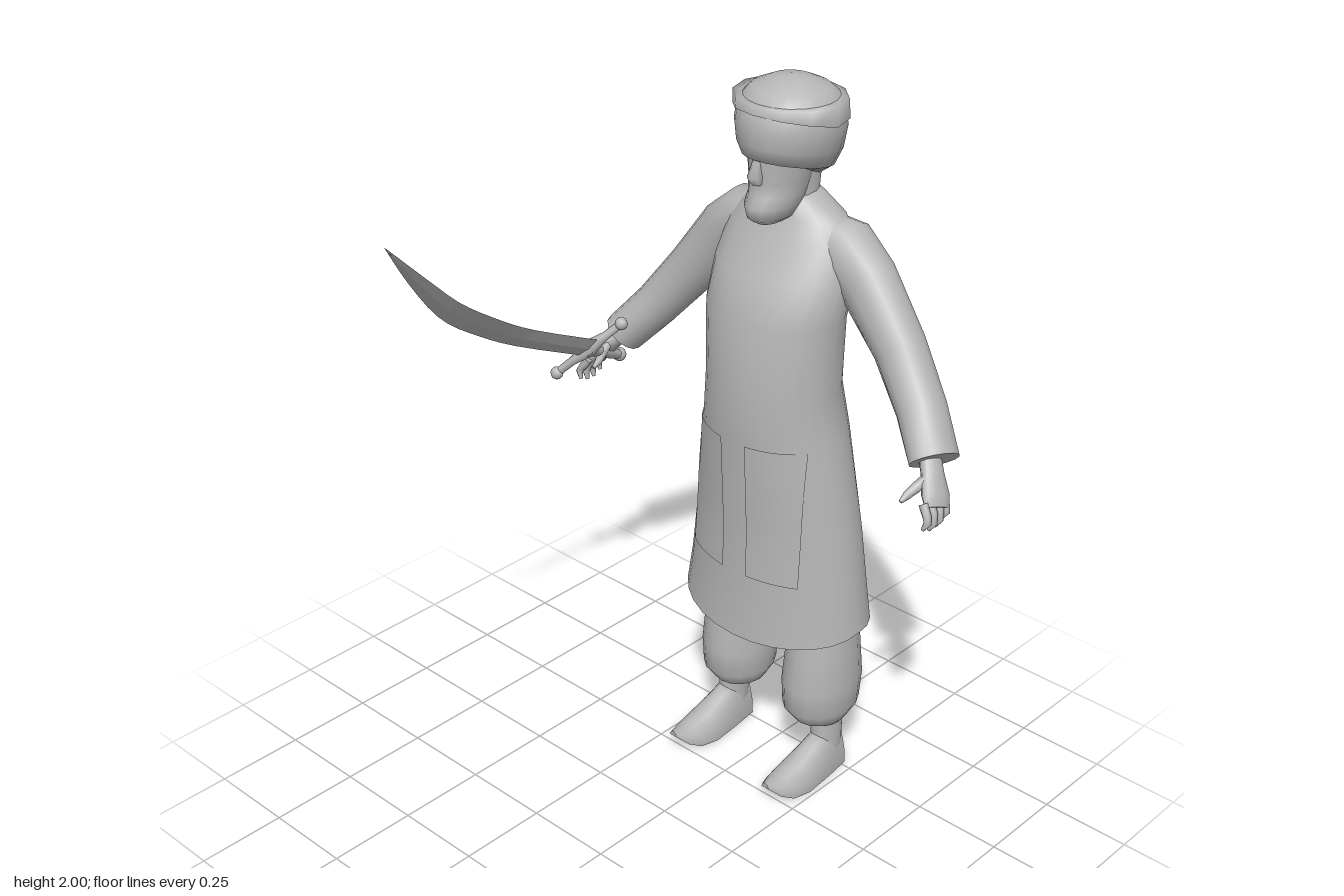
import * as THREE from 'three';

const grey = new THREE.MeshStandardMaterial({ color: 0xb6b6b6, side: THREE.DoubleSide });
grey.name = 'plain grey';
const V = (x, y, z) => new THREE.Vector3(x, y, z);

// Ellipse of points around c, spanned by U and V (U x V points along the loft)
function ring(c, u, v, n) {
  return Array.from({ length: n }, (_, i) => {
    const a = (i / n) * Math.PI * 2;
    return c.clone().addScaledVector(u, Math.cos(a)).addScaledVector(v, Math.sin(a));
  });
}

// Skin over a list of rings, with optional end caps
function loft(rings, capStart = true, capEnd = true) {
  const n = rings[0].length, pos = [], idx = [];
  rings.forEach(r => r.forEach(p => pos.push(p.x, p.y, p.z)));
  for (let i = 0; i < rings.length - 1; i++) {
    for (let j = 0; j < n; j++) {
      const k = (j + 1) % n, a = i * n + j, b = i * n + k;
      idx.push(a, b, b + n, a, b + n, a + n);
    }
  }
  const cap = (r, flip) => {
    const base = pos.length / 3;
    const c = r.reduce((s, p) => s.add(p), V(0, 0, 0)).divideScalar(n);
    [...r, c].forEach(p => pos.push(p.x, p.y, p.z));
    for (let j = 0; j < n; j++) {
      const a = base + j, b = base + (j + 1) % n;
      idx.push(...(flip ? [b, a, base + n] : [a, b, base + n]));
    }
  };
  if (capStart) cap(rings[0], true);
  if (capEnd) cap(rings[rings.length - 1], false);
  const g = new THREE.BufferGeometry();
  g.setAttribute('position', new THREE.Float32BufferAttribute(pos, 3));
  g.setIndex(idx);
  g.computeVertexNormals();
  return g;
}

// Upright rings from rows of [y, centre x, half width, front z, back z]
const upright = (rows, n) => rows.map(([y, cx, rx, zf, zb]) =>
  ring(V(cx, y, (zf + zb) / 2), V(0, 0, (zf - zb) / 2), V(rx, 0, 0), n));

// Tapered sweep along points; rows are [x, y, z, radius across, radius along z]
function sweep(rows, n, side = 1) {
  const pts = rows.map(r => V(r[0] * side, r[1], r[2]));
  return loft(rows.map((r, i) => {
    const t = pts[Math.min(i + 1, pts.length - 1)].clone().sub(pts[Math.max(i - 1, 0)]).normalize();
    const u = V(0, 0, 1).addScaledVector(t, -t.z).normalize();
    const v = t.clone().cross(u);
    return ring(pts[i], u.multiplyScalar(r[4] ?? r[3]), v.multiplyScalar(r[3]), n);
  }));
}

const ROBE = [
  [0.465, 0.005, 0.29, -0.26, -0.64], [0.6, 0.008, 0.275, -0.267, -0.628], [0.8, 0.01, 0.25, -0.268, -0.608],
  [1.07, 0.008, 0.208, -0.25, -0.585], [1.2, 0.005, 0.188, -0.245, -0.567], [1.4, 0.003, 0.197, -0.257, -0.56],
  [1.5, 0.003, 0.205, -0.305, -0.572], [1.6, 0.003, 0.19, -0.362, -0.57], [1.65, 0.003, 0.15, -0.39, -0.56],
  [1.69, 0.003, 0.085, -0.4, -0.54], [1.705, 0.003, 0.055, -0.41, -0.53]];

// Front surface of the robe at x, y
function robeFront(x, y) {
  const i = ROBE.findIndex(r => r[0] > y), a = ROBE[i - 1], b = ROBE[i];
  const t = (y - a[0]) / (b[0] - a[0]);
  const [, cx, rx, zf, zb] = a.map((q, k) => q + (b[k] - q) * t);
  return (zf + zb) / 2 + (zf - zb) / 2 * Math.sqrt(1 - ((x - cx) / rx) ** 2);
}

export function createModel() {
  const model = new THREE.Group();
  const add = (name, geometry, parent = model) => {
    const m = new THREE.Mesh(geometry, grey);
    m.name = name;
    parent.add(m);
    return m;
  };

  // Long robe, with the hem higher at the sides
  const robe = upright(ROBE, 28);
  robe[0].forEach((p, i) => {
    const c = Math.cos(i / 28 * Math.PI * 2);
    p.y += c > 0 ? 0.045 * (1 - c) : 0.045 + 0.01 * c;
  });
  add('robe', loft(robe, false, true));

  // Flat panels on the front of the skirt
  for (const [x0, x1] of [[-0.185, -0.035], [0.045, 0.19]]) {
    const g = new THREE.PlaneGeometry(x1 - x0, 0.4, 6, 8);
    g.translate((x0 + x1) / 2, 0.866, 0);
    const p = g.attributes.position;
    for (let i = 0; i < p.count; i++) p.setZ(i, robeFront(p.getX(i), p.getY(i)) + 0.005);
    g.computeVertexNormals();
    add('skirtPanel', g);
  }

  // Neck, bearded face and nose
  add('neck', loft(upright([[1.6, 0.003, 0.08, -0.4, -0.55], [1.68, 0.003, 0.06, -0.4, -0.53],
    [1.8, 0.005, 0.065, -0.38, -0.54]], 14)));
  add('face', loft(upright([[1.64, 0.004, 0.025, -0.335, -0.42], [1.658, 0.004, 0.05, -0.305, -0.46],
    [1.69, 0.004, 0.063, -0.298, -0.48], [1.715, 0.004, 0.066, -0.315, -0.49], [1.75, 0.004, 0.072, -0.32, -0.5],
    [1.85, 0.005, 0.085, -0.315, -0.52]], 14)));
  add('nose', loft(upright([[1.75, 0.004, 0.016, -0.305, -0.34], [1.77, 0.004, 0.018, -0.288, -0.34],
    [1.82, 0.004, 0.009, -0.308, -0.34]], 6)));

  // Wrapped headdress: rows are [front y, back y, half width, front z, back z]
  const wrap = [[1.81, 1.73, 0.065, -0.34, -0.535], [1.815, 1.76, 0.105, -0.306, -0.56],
    [1.85, 1.81, 0.128, -0.296, -0.575], [1.89, 1.87, 0.137, -0.294, -0.582], [1.92, 1.92, 0.134, -0.3, -0.578],
    [1.95, 1.95, 0.122, -0.315, -0.56], [1.972, 1.972, 0.1, -0.335, -0.535], [1.992, 1.992, 0.055, -0.38, -0.49],
    [2, 2, 0.01, -0.425, -0.445]]
    .map(([yf, yb, rx, zf, zb]) => ring(V(0.008, (yf + yb) / 2, (zf + zb) / 2),
      V(0, (yf - yb) / 2, (zf - zb) / 2), V(rx, 0, 0), 20));
  add('headdress', loft(wrap));
  const band = upright([[1.9, 0.007, 0.148, -0.297, -0.58], [1.952, 0.007, 0.148, -0.3, -0.57],
    [1.952, 0.007, 0.118, -0.32, -0.555]], 12);
  band[0].forEach((p, i) => { p.y += 0.03 * Math.max(0, Math.cos(i / 12 * Math.PI * 2)); });
  add('headdressBand', loft(band, false, false));

  for (const side of [-1, 1]) {
    const label = side > 0 ? 'left' : 'right';

    // Sleeve and hand
    add(label + 'Sleeve', sweep([[0.08, 1.585, -0.485, 0.07, 0.075], [0.16, 1.575, -0.485, 0.082, 0.08],
      [0.23, 1.515, -0.483, 0.082, 0.072], [0.35, 1.37, -0.475, 0.07, 0.066], [0.45, 1.245, -0.445, 0.062, 0.068],
      [0.53, 1.15, -0.4, 0.058, 0.07]], 14, side));
    const hand = new THREE.Group();
    hand.name = label + 'Hand';
    model.add(hand);
    add('palm', sweep([[0.505, 1.18, -0.405, 0.024, 0.03], [0.545, 1.13, -0.375, 0.022, 0.034],
      [0.575, 1.09, -0.352, 0.02, 0.046], [0.59, 1.065, -0.34, 0.014, 0.042]], 10, side), hand);
    for (let f = 0; f < 4; f++) {
      const z = -0.378 + f * 0.025, drop = [0.012, 0, 0, 0.01][f];
      add('finger', sweep([[0.575, 1.085, z, 0.012], [0.594, 1.057, z + 0.006, 0.011],
        [0.6, 1.035 + drop, z + 0.012, 0.01], [0.59, 1.015 + drop, z + 0.016, 0.005]], 6, side), hand);
    }
    add('thumb', sweep([[0.548, 1.13, -0.355, 0.014], [0.538, 1.11, -0.32, 0.014],
      [0.53, 1.095, -0.295, 0.011], [0.528, 1.085, -0.274, 0.005]], 6, side), hand);

    // Baggy trouser leg and ankle
    const lx = side > 0 ? 0.158 : -0.137, fx = side > 0 ? 0.178 : -0.17, back = side > 0 ? -0.015 : 0;
    add(label + 'TrouserLeg', loft(upright([[0.16, fx * 0.97, 0.045, -0.42, -0.53],
      [0.175, lx, 0.072, -0.385, -0.545 + back], [0.22, lx, 0.097, -0.35, -0.575 + back],
      [0.3, lx, 0.1, -0.343, -0.583 + back], [0.42, lx, 0.094, -0.357, -0.567 + back],
      [0.5, lx, 0.086, -0.372, -0.55 + back], [0.75, lx * 0.9, 0.085, -0.37, -0.54]], 16)));
    add(label + 'Ankle', loft(upright([[0.02, fx, 0.042, -0.42, -0.525], [0.1, fx, 0.038, -0.425, -0.53],
      [0.2, fx * 0.97, 0.042, -0.425, -0.535]], 12)));

    // Shoe with upturned toe: rows are [z, bottom, top, half width]
    const shoe = [[-0.53, 0.015, 0.09, 0.025], [-0.515, 0, 0.12, 0.042], [-0.45, 0, 0.135, 0.05],
      [-0.4, 0, 0.11, 0.055], [-0.34, 0, 0.08, 0.06], [-0.28, 0.008, 0.062, 0.053],
      [-0.245, 0.025, 0.062, 0.035], [-0.215, 0.055, 0.07, 0.012]].map(([z, b, t, w]) => {
      const r = ring(V(fx, b, z), V(w, 0, 0), V(0, t - b, 0), 16);
      r.forEach(p => { p.y = Math.max(p.y, b); });
      return r;
    });
    add(label + 'Shoe', loft(shoe));
  }

  // Curved sword
  const sword = new THREE.Group();
  sword.name = 'sword';
  model.add(sword);
  const wide = V(-0.53, -0.61, 0.59).normalize();
  const curve = new THREE.CatmullRomCurve3([V(-0.522, 1.15, -0.265), V(-0.477, 1.3, 0.03), V(-0.427, 1.4, 0.19),
    V(-0.37, 1.515, 0.35), V(-0.305, 1.66, 0.5), V(-0.235, 1.812, 0.645)]);
  const blade = [];
  for (let i = 0; i <= 16; i++) {
    const s = i / 16, t = curve.getTangent(s);
    const u = wide.clone().addScaledVector(t, -wide.dot(t)).normalize();
    const v = t.clone().cross(u);
    const w = 0.034 * (s < 0.5 ? 1 : 1 - ((s - 0.5) * 2) ** 1.6) + 0.0005;
    blade.push(ring(curve.getPoint(s), u.multiplyScalar(w), v.multiplyScalar(0.006 * (1 - s * 0.8)), 4));
  }
  add('blade', loft(blade).toNonIndexed(), sword).geometry.computeVertexNormals();

  // Guard, grip and knobs
  const guardA = V(-0.6, 1.07, -0.205), guardB = V(-0.457, 1.228, -0.313);
  const rod = (name, a, b, radii) => add(name, sweep(radii.map((r, i) =>
    [...a.clone().lerp(b, i / (radii.length - 1)).toArray(), r]), 8), sword);
  rod('guard', guardA, guardB, [0.011, 0.012, 0.024, 0.012, 0.011]);
  const gripEnd = V(-0.572, 1.06, -0.42);
  rod('grip', V(-0.525, 1.15, -0.25), gripEnd, [0.02, 0.014, 0.016, 0.014]);
  for (const [name, p, r] of [['guardKnob', guardA, 0.018], ['guardKnob', guardB, 0.018], ['pommel', gripEnd, 0.02]]) {
    add(name, new THREE.SphereGeometry(r, 10, 8), sword).position.copy(p);
  }
  return model;
}
